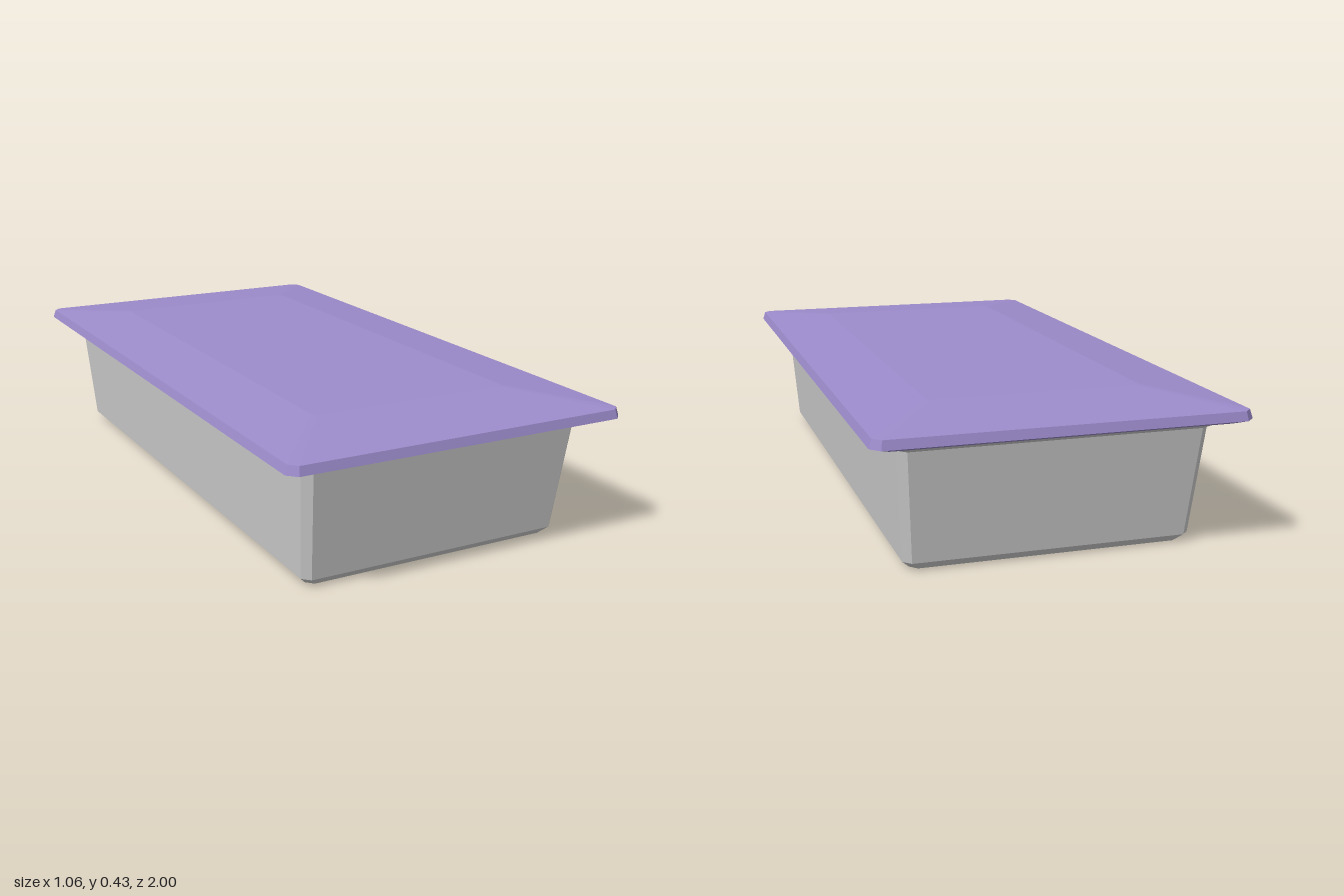
import * as THREE from 'three';

// Rectangle with cut corners, counter-clockwise seen from above
function ring([y, hx, hz, c]) {
  const x = hx - c, z = hz - c;
  return [[hx, -z], [x, -hz], [-x, -hz], [-hx, -z], [-hx, z], [-x, hz], [x, hz], [hx, z]]
    .map(([px, pz]) => [px, y, pz]);
}

// Skins a stack of [y, half width, half length, corner cut] sections and caps both ends
function loft(name, color, sections) {
  const rings = sections.map(ring);
  const n = 8, index = [], last = (rings.length - 1) * n;
  for (let r = 0; r < rings.length - 1; r++) {
    for (let i = 0; i < n; i++) {
      const a = r * n + i, b = r * n + (i + 1) % n;
      index.push(a, b, b + n, a, b + n, a + n);
    }
  }
  for (let i = 1; i < n - 1; i++) {
    index.push(0, i + 1, i, last, last + i, last + i + 1);
  }
  const indexed = new THREE.BufferGeometry();
  indexed.setAttribute('position', new THREE.Float32BufferAttribute(rings.flat(2), 3));
  indexed.setIndex(index);
  const geometry = indexed.toNonIndexed();
  geometry.computeVertexNormals();
  const mesh = new THREE.Mesh(geometry, new THREE.MeshStandardMaterial({ color, flatShading: true }));
  mesh.name = name;
  return mesh;
}

export function createModel() {
  const model = new THREE.Group();
  model.name = 'liddedTray';

  // Tapered tray: chamfered foot, flared rim, hollow inside
  model.add(loft('tray', 0xcccccc, [
    [0, 0.395, 0.842, 0.02],
    [0.024, 0.419, 0.865, 0.022],
    [0.347, 0.443, 0.911, 0.025],
    [0.36, 0.466, 0.932, 0.028],
    [0.368, 0.466, 0.932, 0.028],
    [0.368, 0.425, 0.89, 0.025],
    [0.03, 0.395, 0.842, 0.02],
  ]));

  // Overhanging lid: bevelled edge rising to a shallow raised panel
  model.add(loft('lid', 0x9c8bcb, [
    [0.369, 0.497, 0.966, 0.02],
    [0.382, 0.532, 1, 0.026],
    [0.408, 0.524, 0.993, 0.022],
    [0.433, 0.315, 0.72, 0.012],
  ]));

  return model;
}
